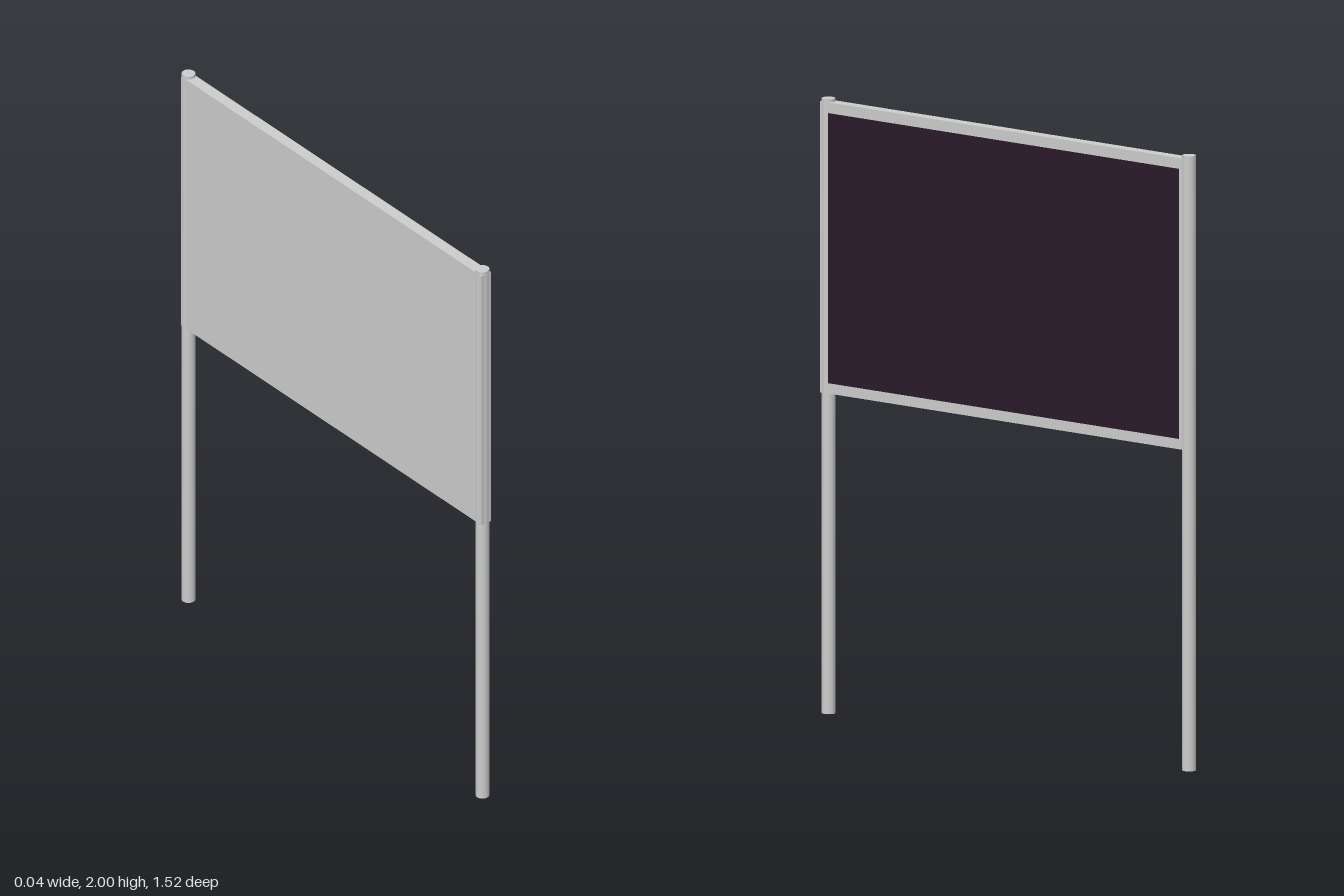
import * as THREE from 'three';

export function createModel() {
  const model = new THREE.Group();
  const grey = new THREE.MeshStandardMaterial({ color: 0xcccccc });
  const dark = new THREE.MeshStandardMaterial({ color: 0x2a1928 });

  const add = (name, geometry, material, x, y, z) => {
    const mesh = new THREE.Mesh(geometry, material);
    mesh.name = name;
    mesh.position.set(x, y, z);
    model.add(mesh);
  };

  // Two round posts
  const post = new THREE.CylinderGeometry(0.022, 0.022, 2, 24);
  for (const [name, z] of [['frontPost', 0.74], ['backPost', -0.74]]) {
    add(name, post, grey, 0, 1, z);
  }

  // Board between the posts, with its plain back and frame border
  const bottom = 1.043, top = 1.99;
  add('board', new THREE.BoxGeometry(0.039, top - bottom, 1.512), grey, -0.001, (top + bottom) / 2, 0.004);

  // Dark display surface on the +x side
  add('displayPanel', new THREE.BoxGeometry(0.004, 0.878, 1.44), dark, 0.018, 1.516, 0.006);

  return model;
}
